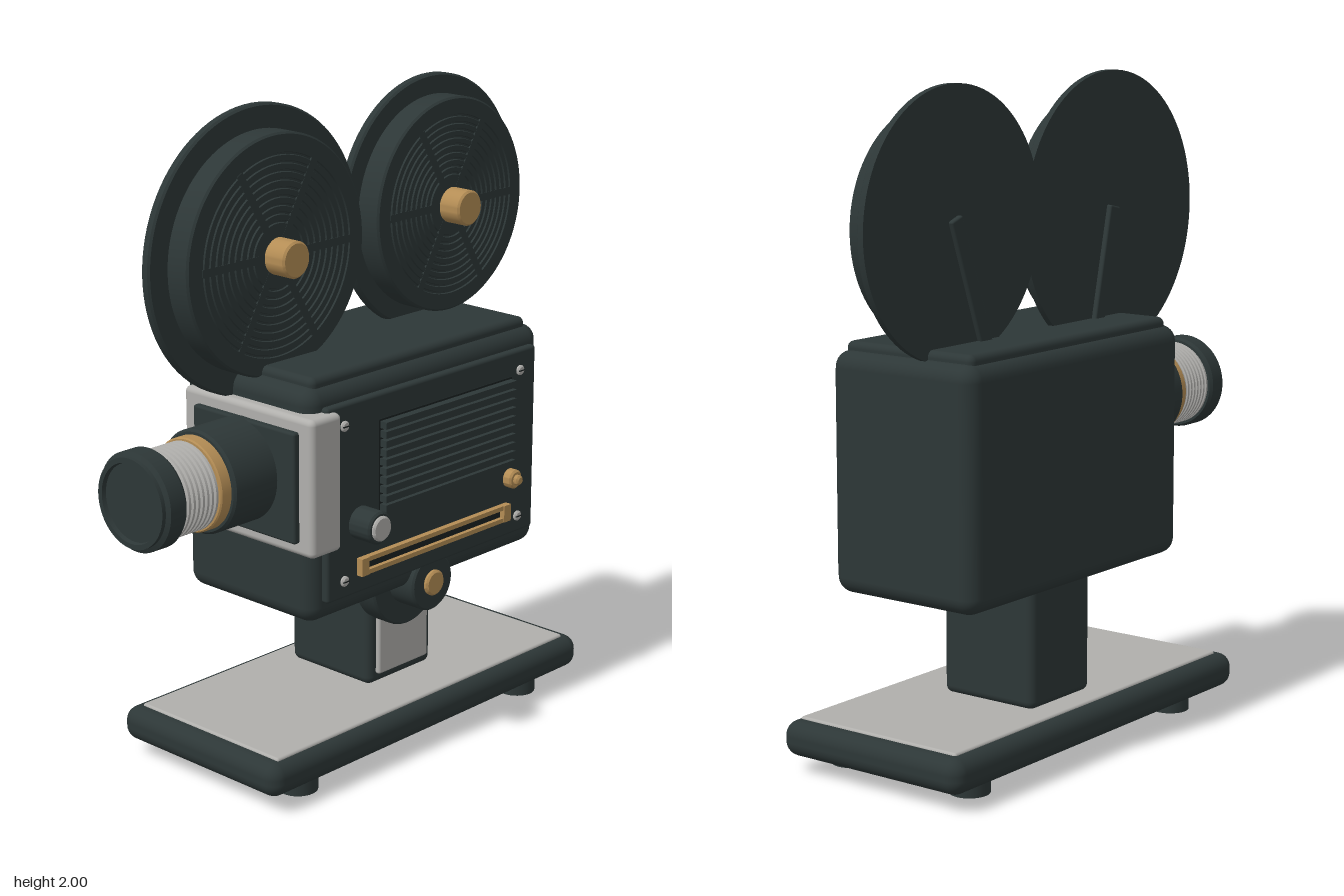
import * as THREE from 'three';
import { toCreasedNormals } from 'three/addons/utils/BufferGeometryUtils.js';
import { RoundedBoxGeometry } from 'three/addons/geometries/RoundedBoxGeometry.js';

const material = (name, color) => {
  const m = new THREE.MeshStandardMaterial({ color });
  m.name = name;
  return m;
};

export function createModel() {
  const root = new THREE.Group();
  root.name = 'filmProjector';
  const dark = material('dark enamel', 0x2d3737);
  const black = material('black recess', 0x1b2222);
  const silver = material('silver grey', 0xb0afac);
  const brass = material('brass', 0xb48d55);

  const add = (name, geometry, mat, parent = root) => {
    const mesh = new THREE.Mesh(geometry, mat);
    mesh.name = name;
    parent.add(mesh);
    return mesh;
  };
  // Box given by its limits on each axis, with optional rounded edges
  const box = (name, mat, [x0, x1], [y0, y1], [z0, z1], r = 0, parent = root) => {
    const size = [x1 - x0, y1 - y0, z1 - z0];
    const g = r ? new RoundedBoxGeometry(...size, 4, r) : new THREE.BoxGeometry(...size);
    g.translate((x0 + x1) / 2, (y0 + y1) / 2, (z0 + z1) / 2);
    return add(name, g, mat, parent);
  };
  // Turned part from [radius, height] pairs, with crisp corners
  const turned = (profile, sides = 64) => toCreasedNormals(
    new THREE.LatheGeometry(profile.map(([r, h]) => new THREE.Vector2(r, h)), sides), 0.6);
  // Disc facing the front, with a small bevel on its front rim
  const disc = (name, mat, x, y, r, z0, z1, parent = root, sides = 48) => {
    const b = Math.min(0.006, (z1 - z0) / 3);
    const g = turned([[0, z0], [r, z0], [r, z1 - b], [r - b, z1], [0, z1]], sides);
    g.rotateX(Math.PI / 2).translate(x, y, 0);
    return add(name, g, mat, parent);
  };

  // Base with its top plate and four feet
  box('base', dark, [-0.61, 0.8], [0.05, 0.157], [-0.355, 0.305], 0.045);
  box('baseTopPlate', silver, [-0.56, 0.75], [0.14, 0.164], [-0.31, 0.27], 0.008);
  for (const x of [-0.41, 0.6]) for (const z of [-0.24, 0.205]) {
    const foot = add('foot', new THREE.CylinderGeometry(0.06, 0.06, 0.07, 32), dark);
    foot.position.set(x, 0.035, z);
  }

  // Post
  box('post', dark, [0.01, 0.3], [0.16, 0.56], [-0.235, 0.1], 0.025);
  box('postPlate', silver, [0.042, 0.266], [0.195, 0.5], [0.09, 0.115], 0.008);

  // Body, cap and front panel
  box('body', dark, [-0.395, 0.635], [0.515, 1.23], [-0.28, 0.243], 0.05);
  box('bodyCap', dark, [-0.355, 0.595], [1.2, 1.255], [-0.25, 0.215], 0.02);
  box('frontPanel', dark, [-0.345, 0.587], [0.58, 1.175], [0.23, 0.265], 0.01);

  // Ventilation slats
  box('ventRecess', black, [-0.13, 0.47], [0.81, 1.097], [0.262, 0.268]);
  for (let i = 0; i < 10; i++) {
    const y = 0.826 + i * 0.0283;
    box('ventSlat', dark, [-0.125, 0.465], [y - 0.0105, y + 0.0105], [0.26, 0.293]);
  }

  // Panel screws
  for (const x of [-0.275, 0.51]) for (const y of [0.635, 1.11]) {
    disc('screw', silver, x, y, 0.016, 0.26, 0.275, root, 20);
    box('screwSlot', black, [x - 0.013, x + 0.013], [y - 0.002, y + 0.002], [0.27, 0.276]);
  }

  // Control knobs
  disc('knobCollar', dark, -0.205, 0.8, 0.05, 0.26, 0.345);
  disc('knobCap', silver, -0.205, 0.8, 0.038, 0.34, 0.355);
  disc('smallKnob', brass, 0.47, 0.77, 0.03, 0.26, 0.295);
  disc('smallKnobTip', brass, 0.47, 0.77, 0.016, 0.29, 0.312, root, 24);

  // Brass slider frame around a dark slot
  box('sliderSlot', black, [-0.2, 0.44], [0.645, 0.685], [0.262, 0.27]);
  for (const y of [0.645, 0.685])
    box('sliderRail', brass, [-0.22, 0.455], [y - 0.007, y + 0.007], [0.26, 0.284]);
  for (const x of [-0.205, 0.44])
    box('sliderEnd', brass, [x - 0.016, x + 0.016], [0.638, 0.692], [0.26, 0.287]);

  // Tilt wheel below the body
  disc('tiltWheel', dark, 0.12, 0.52, 0.16, 0.09, 0.165);
  disc('tiltHub', dark, 0.12, 0.52, 0.09, 0.16, 0.262);
  disc('tiltCap', brass, 0.12, 0.52, 0.04, 0.25, 0.276);

  // Lens mount
  box('lensBracket', silver, [-0.43, -0.305], [0.745, 1.162], [-0.24, 0.288], 0.018);
  box('lensPlate', dark, [-0.45, -0.42], [0.785, 1.12], [-0.18, 0.235], 0.008);

  // Lens, turned about an axis that runs to -x
  const lens = new THREE.Group();
  lens.name = 'lens';
  lens.position.set(0, 0.966, 0.0125);
  lens.rotation.z = Math.PI / 2;
  root.add(lens);
  add('lensBarrel', turned([[0, 0.43], [0.155, 0.43], [0.155, 0.61], [0.148, 0.617], [0, 0.617]]), dark, lens);
  add('lensBrassRing', turned([[0, 0.61], [0.14, 0.61], [0.14, 0.652], [0.136, 0.656], [0, 0.656]]), brass, lens);
  const ribs = [[0, 0.65]];
  for (let i = 0; i < 8; i++) {
    const t = 0.656 + i * 0.0175;
    ribs.push([0.122, t], [0.132, t + 0.004], [0.132, t + 0.012], [0.122, t + 0.0165]);
  }
  ribs.push([0, 0.8]);
  add('focusRing', turned(ribs), silver, lens);
  add('lensHood', turned([[0, 0.79], [0.14, 0.79], [0.147, 0.8], [0.147, 0.855], [0.133, 0.862],
    [0.133, 0.875], [0.118, 0.875], [0.115, 0.862], [0, 0.862]]), dark, lens);

  // Film reels: flange, ridged film pack, spokes, hub and support arm
  const reel = (x, y, flangeR, filmR, shift, footX) => {
    const g = new THREE.Group();
    g.name = 'reel';
    g.position.set(x, y, 0);
    root.add(g);
    disc('reelFlange', dark, 0, 0, flangeR, -0.092 - shift, -0.066 - shift, g, 96);
    const profile = [[0, -0.07], [filmR, -0.07], [filmR, 0.008], [filmR - 0.006, 0.014]];
    const rings = 9, outer = filmR * 0.84, step = (outer - 0.08) / rings;
    for (let i = 0; i < rings; i++) {
      const r = outer - i * step;
      profile.push([r, 0.014], [r - 0.002, 0.009], [r - 0.007, 0.009], [r - 0.009, 0.014]);
    }
    profile.push([0, 0.014]);
    add('filmPack', turned(profile, 96).rotateX(Math.PI / 2), dark, g);
    for (let i = 0; i < 6; i++) {
      const spoke = box('reelSpoke', dark, [0.05, outer], [-0.012, 0.012], [0.006, 0.0145], 0, g);
      spoke.rotation.z = i * Math.PI / 3;
    }
    disc('reelHub', brass, 0, 0, 0.055, 0, 0.09, g);
    const dx = footX - x, dy = 1.2 - y;
    const arm = box('reelArm', dark, [-0.025, 0.025], [-Math.hypot(dx, dy), 0.02], [-0.108, -0.08], 0.006, g);
    arm.rotation.z = Math.atan2(dx, -dy);
  };
  reel(-0.285, 1.57, 0.43, 0.358, 0, -0.2);
  reel(0.47, 1.597, 0.395, 0.333, 0.001, 0.325);

  return root;
}
